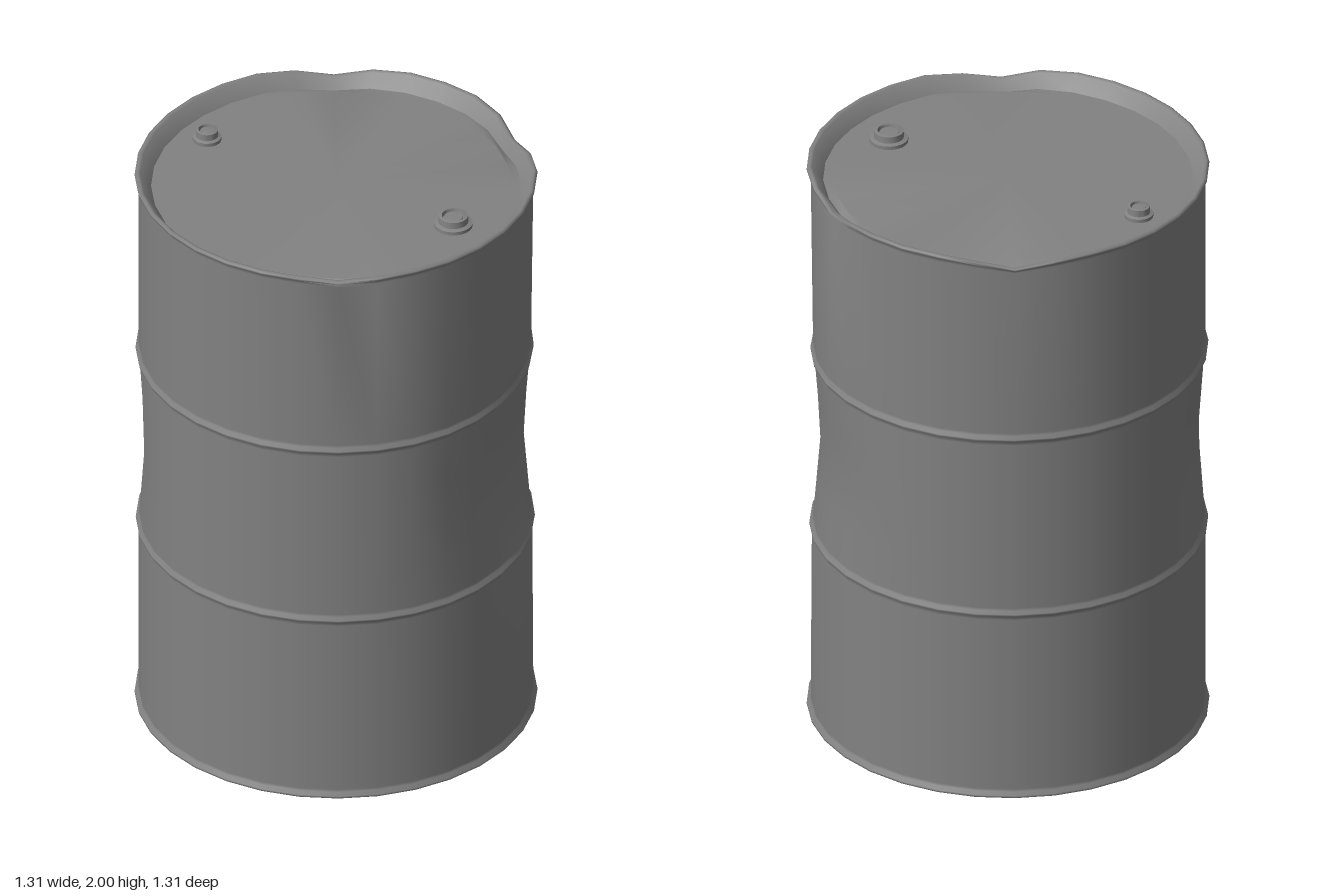
import * as THREE from 'three';
import { toCreasedNormals } from 'three/addons/utils/BufferGeometryUtils.js';

const SIDES = 32;
const material = new THREE.MeshStandardMaterial({ color: 0x828282, side: THREE.DoubleSide });

// Dents: az = degrees from +x towards +z, half widths in angle and height,
// push = inward depth, drop = downward shift
const DENTS = [
  { az: -14, y: 1.03, wAz: 50, wY: 0.42, push: 0.048, drop: 0.01 },
  { az: -58, y: 1.0, wAz: 30, wY: 0.33, push: 0.02, drop: 0 },
  { az: 158, y: 1.0, wAz: 30, wY: 0.33, push: 0.035, drop: 0 },
  { az: 55, y: 2.0, wAz: 18, wY: 0.1, push: 0.024, drop: 0.027 },
  { az: -56, y: 2.0, wAz: 18, wY: 0.1, push: 0.022, drop: 0.034 },
  { az: -124, y: 2.0, wAz: 18, wY: 0.1, push: 0.006, drop: 0.034 },
];

function lathe(points, sides) {
  return new THREE.LatheGeometry(points.map(([r, y]) => new THREE.Vector2(r, y)), sides);
}

function applyDents(geometry) {
  const p = geometry.attributes.position;
  for (let i = 0; i < p.count; i++) {
    const x = p.getX(i), y = p.getY(i), z = p.getZ(i);
    const r = Math.hypot(x, z);
    if (r < 0.58) continue;
    const az = THREE.MathUtils.radToDeg(Math.atan2(z, x));
    let push = 0, drop = 0;
    for (const d of DENTS) {
      const a = Math.abs(((az - d.az + 540) % 360) - 180) / d.wAz;
      const h = Math.abs(y - d.y) / d.wY;
      if (a >= 1 || h >= 1) continue;
      const w = Math.cos(a * Math.PI / 2) ** 2 * (1 - h);
      push += d.push * w;
      drop += d.drop * w;
    }
    const s = (r - push) / r;
    p.setXYZ(i, x * s, y - drop, z * s);
  }
  return geometry;
}

function addMesh(parent, name, geometry, crease) {
  const mesh = new THREE.Mesh(toCreasedNormals(geometry, crease), material);
  mesh.name = name;
  parent.add(mesh);
  return mesh;
}

// Soft raised hoop around the wall at height y, with support loops beside it
const hoop = (y) => [
  [0.641, y - 0.022], [0.641, y - 0.012], [0.651, y - 0.003],
  [0.651, y + 0.003], [0.641, y + 0.012], [0.641, y + 0.022],
];

// Threaded plug: flange, collar and a sunken centre
function addBung(parent, name, x, r) {
  const bung = addMesh(parent, name, lathe([
    [r, 0], [r, 0.012], [r * 0.78, 0.016], [r * 0.76, 0.038],
    [r * 0.6, 0.04], [r * 0.56, 0.026], [r * 0.5, 0.026], [r * 0.48, 0.034], [0, 0.034],
  ], 20), 0.6);
  bung.position.set(x, 1.951, 0);
}

export function createModel() {
  const drum = new THREE.Group();
  drum.name = 'drum';

  // Wall with two hoops and rolled rims
  addMesh(drum, 'wall', applyDents(lathe([
    [0.601, 0.05], [0.636, 0.004], [0.645, 0], [0.654, 0.004], [0.654, 0.011], [0.641, 0.02], [0.641, 0.03],
    ...hoop(0.68), [0.641, 0.85], [0.641, 1.0], [0.641, 1.16], ...hoop(1.33),
    [0.641, 1.97], [0.641, 1.98], [0.654, 1.989], [0.654, 1.996], [0.645, 2], [0.636, 1.996], [0.601, 1.95],
  ], SIDES)), 1.3);

  // Recessed flat end plates
  addMesh(drum, 'lid', applyDents(lathe([[0.601, 1.95], [0.57, 1.95], [0, 1.95]], SIDES)), 0.6);
  addMesh(drum, 'base', applyDents(lathe([[0, 0.05], [0.57, 0.05], [0.601, 0.05]], SIDES)), 0.6);

  addBung(drum, 'largeBung', 0.455, 0.063);
  addBung(drum, 'smallBung', -0.5, 0.047);
  return drum;
}
